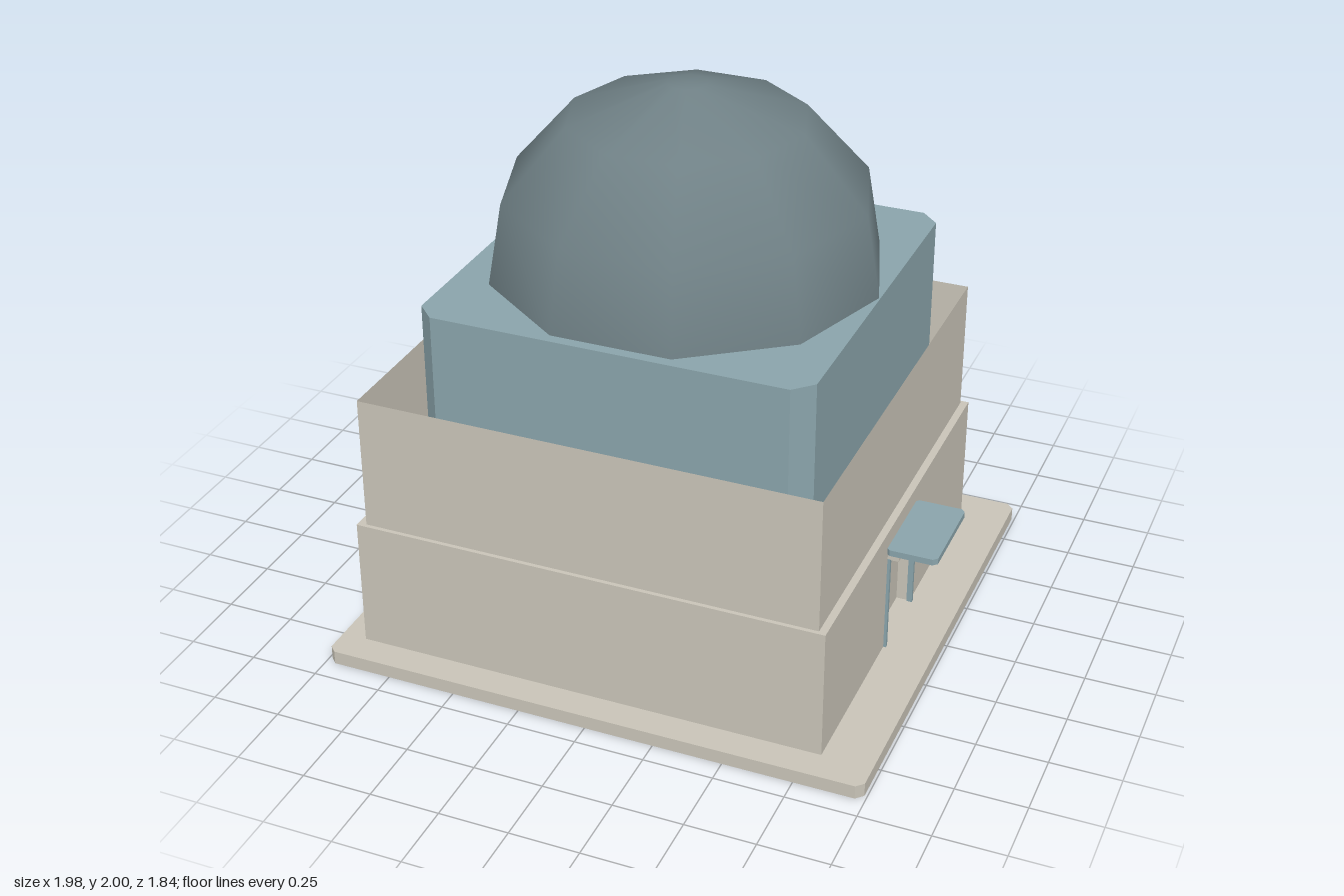
import * as THREE from 'three';

function material(name, color, extra = {}) {
  const m = new THREE.MeshStandardMaterial({ color, ...extra });
  m.name = name;
  return m;
}

// Upright prism from a footprint of [x, z] points
function prism(points, y0, y1) {
  const shape = new THREE.Shape(points.map(([x, z]) => new THREE.Vector2(x, -z)));
  const geo = new THREE.ExtrudeGeometry(shape, { depth: y1 - y0, bevelEnabled: false });
  return geo.rotateX(-Math.PI / 2).translate(0, y0, 0);
}

// Rectangular footprint with corners cut by c
function cutRect(x0, x1, z0, z1, c) {
  return [
    [x0 + c, z0], [x1 - c, z0], [x1, z0 + c], [x1, z1 - c],
    [x1 - c, z1], [x0 + c, z1], [x0, z1 - c], [x0, z0 + c],
  ];
}

function box(x0, x1, y0, y1, z0, z1) {
  return new THREE.BoxGeometry(x1 - x0, y1 - y0, z1 - z0)
    .translate((x0 + x1) / 2, (y0 + y1) / 2, (z0 + z1) / 2);
}

export function createModel() {
  const stone = material('beige stone', 0xc9c4b8, { side: THREE.DoubleSide });
  const blue = material('pale blue', 0x8aa4ab);
  const slate = material('slate dome', 0x6f8085, { side: THREE.DoubleSide });

  const model = new THREE.Group();
  model.name = 'domedBuilding';
  const add = (name, geo, mat) => {
    const mesh = new THREE.Mesh(geo, mat);
    mesh.name = name;
    model.add(mesh);
  };

  // Ground slab
  add('baseSlab', prism(cutRect(-0.99, 0.99, -0.92, 0.92, 0.025), 0, 0.05), stone);

  // Lower storey, with a shallow doorway notched into its +x side
  const door = 0.15, recess = 0.76;
  add('lowerWalls', prism([
    [-0.9, -0.81], [0.81, -0.81], [0.81, -door], [recess, -door],
    [recess, door], [0.81, door], [0.81, 0.81], [-0.9, 0.81],
  ], 0.05, 0.42), stone);
  add('lowerWallsTop', box(-0.9, 0.81, 0.42, 0.53, -0.81, 0.81), stone);

  // Upper storey: thin walls, open at the top
  const walls = box(-0.87, 0.783, 0.53, 1.02, -0.795, 0.795);
  const index = Array.from(walls.index.array);
  walls.setIndex([...index.slice(0, 12), ...index.slice(24)]);
  walls.clearGroups();
  add('upperWalls', walls, stone);

  // Drum under the dome, rising from inside the walls
  add('drum', prism(cutRect(-0.695, 0.695, -0.695, 0.695, 0.065), 0.53, 1.335), blue);

  // Ten-sided dome
  const profile = [[0.69, 1.335], [0.64, 1.625], [0.415, 1.88], [0.07, 2], [0, 2]]
    .map(([r, y]) => new THREE.Vector2(r, y));
  add('dome', new THREE.LatheGeometry(profile, 10, Math.PI / 2), slate);

  // Doorway: posts, lintel and canopy
  for (const s of [-1, 1]) {
    add(s > 0 ? 'doorPostFront' : 'doorPostBack',
      box(0.8, 0.82, 0.05, 0.42, s * door - 0.007, s * door + 0.007), blue);
  }
  add('doorLintel', box(0.8, 0.85, 0.417, 0.445, -0.155, 0.155), stone);
  add('canopy', prism(cutRect(0.805, 0.99, -0.175, 0.172, 0.015), 0.445, 0.468), blue);

  return model;
}
